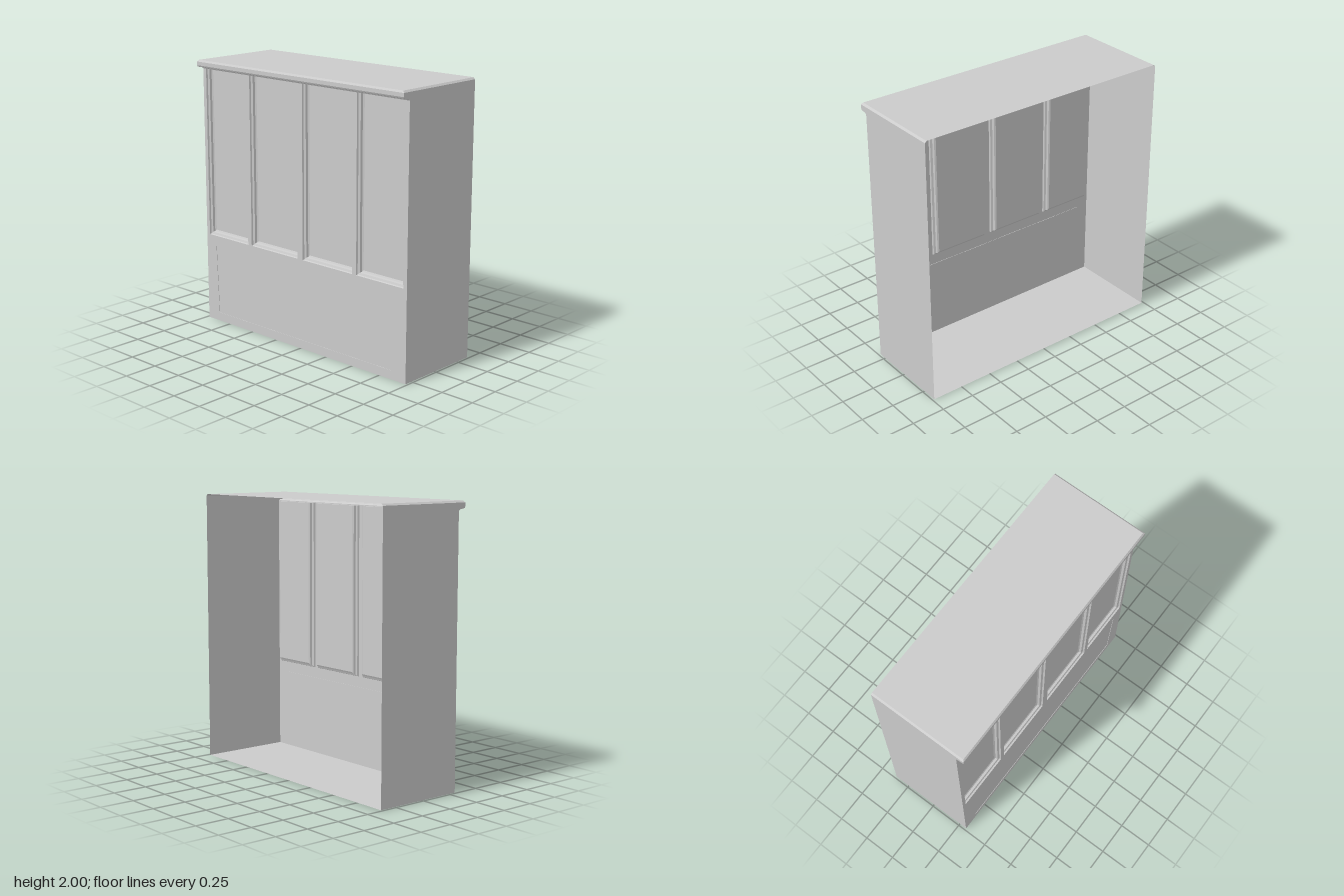
import * as THREE from 'three';

const WALL_X = -0.31, BACK_X = 0.37, HALF_Z = 0.985, TOP_INSET = 0.972;

export function createModel() {
  const model = new THREE.Group();
  const mat = new THREE.MeshStandardMaterial({
    color: 0xcccccc, flatShading: true, side: THREE.DoubleSide,
  });

  function add(name, geometry) {
    const mesh = new THREE.Mesh(geometry, mat);
    mesh.name = name;
    model.add(mesh);
    return mesh;
  }

  // Joins successive sections (arrays of [x, y, z]) with quads
  function loft(sections, closed = false) {
    const pos = [];
    for (let i = 0; i + 1 < sections.length; i++) {
      const a = sections[i], b = sections[i + 1], n = a.length;
      for (let j = 0; j < (closed ? n : n - 1); j++) {
        const k = (j + 1) % n;
        pos.push(...a[j], ...a[k], ...b[k], ...a[j], ...b[k], ...b[j]);
      }
    }
    const g = new THREE.BufferGeometry();
    g.setAttribute('position', new THREE.Float32BufferAttribute(pos, 3));
    g.computeVertexNormals();
    return g;
  }

  const toShape = (pts, Type = THREE.Shape) => new Type(pts.map(p => new THREE.Vector2(...p)));

  // Rectangular openings as [z, y] corners, narrowed by an inset on sides and bottom
  const opening = (z0, z1, inset = 0) => [
    [z0 + inset, 0.67 + inset], [z1 - inset, 0.67 + inset], [z1 - inset, 1.93], [z0 + inset, 1.93],
  ];
  const bays = [[-0.955, -0.534], [-0.497, -0.026], [0.026, 0.497], [0.534, 0.955]];
  const lowerPanel = [[-0.865, 0.065], [0.865, 0.065], [0.885, 0.59], [-0.885, 0.59]];

  // Panelled wall with four tall openings and one low one
  const wall = toShape([[-HALF_Z, 0], [HALF_Z, 0], [HALF_Z, 1.935], [-HALF_Z, 1.935]]);
  for (const [z0, z1] of bays) wall.holes.push(toShape(opening(z0, z1), THREE.Path));
  wall.holes.push(toShape(lowerPanel, THREE.Path));
  add('panelledWall', new THREE.ShapeGeometry(wall).rotateY(-Math.PI / 2).translate(WALL_X, 0, 0));

  // Flat panel closing an opening at a given depth
  const panel = (pts, depth) =>
    new THREE.ShapeGeometry(toShape(pts)).rotateY(-Math.PI / 2).translate(WALL_X + depth, 0, 0);

  // Stepped mouldings and recessed panels: [inset, depth]
  const steps = [[0, 0], [0.004, 0.012], [0.018, 0.018], [0.022, 0.034], [0.033, 0.04]];
  for (const [z0, z1] of bays) {
    const rings = steps.map(([inset, d]) => opening(z0, z1, inset).map(([z, y]) => [WALL_X + d, y, z]));
    add('panelMoulding', loft(rings, true));
    add('tallPanel', panel(opening(z0, z1, 0.033), 0.04));
  }

  // Low panel, set back by a hair
  add('lowerPanelEdge', loft([0, 0.003].map(d => lowerPanel.map(([z, y]) => [WALL_X + d, y, z])), true));
  add('lowerPanel', panel(lowerPanel, 0.003));

  // Cornice profile as [x, y], running up to the chamfered top
  const cornice = [
    [WALL_X, 1.93], [-0.314, 1.937], [-0.325, 1.943], [-0.352, 1.946],
    [-0.365, 1.95], [-0.37, 1.96], [-0.37, 1.987],
  ];
  const strip = [...cornice.map(([x, y]) => [x, y, HALF_Z]),
    [-0.36, 2, TOP_INSET], [BACK_X, 2, TOP_INSET]];
  add('corniceAndTop', loft(strip.map(([x, y, z]) => [[x, y, -z], [x, y, z]])));

  // Side walls with the cornice outline and the chamfer above them
  const side = toShape([[WALL_X, 0], ...cornice, [BACK_X, 1.987], [BACK_X, 0]]);
  for (const s of [-1, 1]) {
    const g = new THREE.ShapeGeometry(side);
    if (s < 0) g.rotateY(Math.PI).scale(-1, 1, 1).setIndex([...g.index.array].reverse());
    g.translate(0, 0, s * HALF_Z);
    g.computeVertexNormals();
    add(s > 0 ? 'frontSide' : 'rearSide', g);
    add('topChamfer', loft([
      [[-0.37, 1.987, s * HALF_Z], [BACK_X, 1.987, s * HALF_Z]],
      [[-0.36, 2, s * TOP_INSET], [BACK_X, 2, s * TOP_INSET]],
    ]));
  }

  // Floor
  add('floor', loft([
    [[WALL_X, 0, -HALF_Z], [BACK_X, 0, -HALF_Z]],
    [[WALL_X, 0, HALF_Z], [BACK_X, 0, HALF_Z]],
  ]));

  return model;
}
